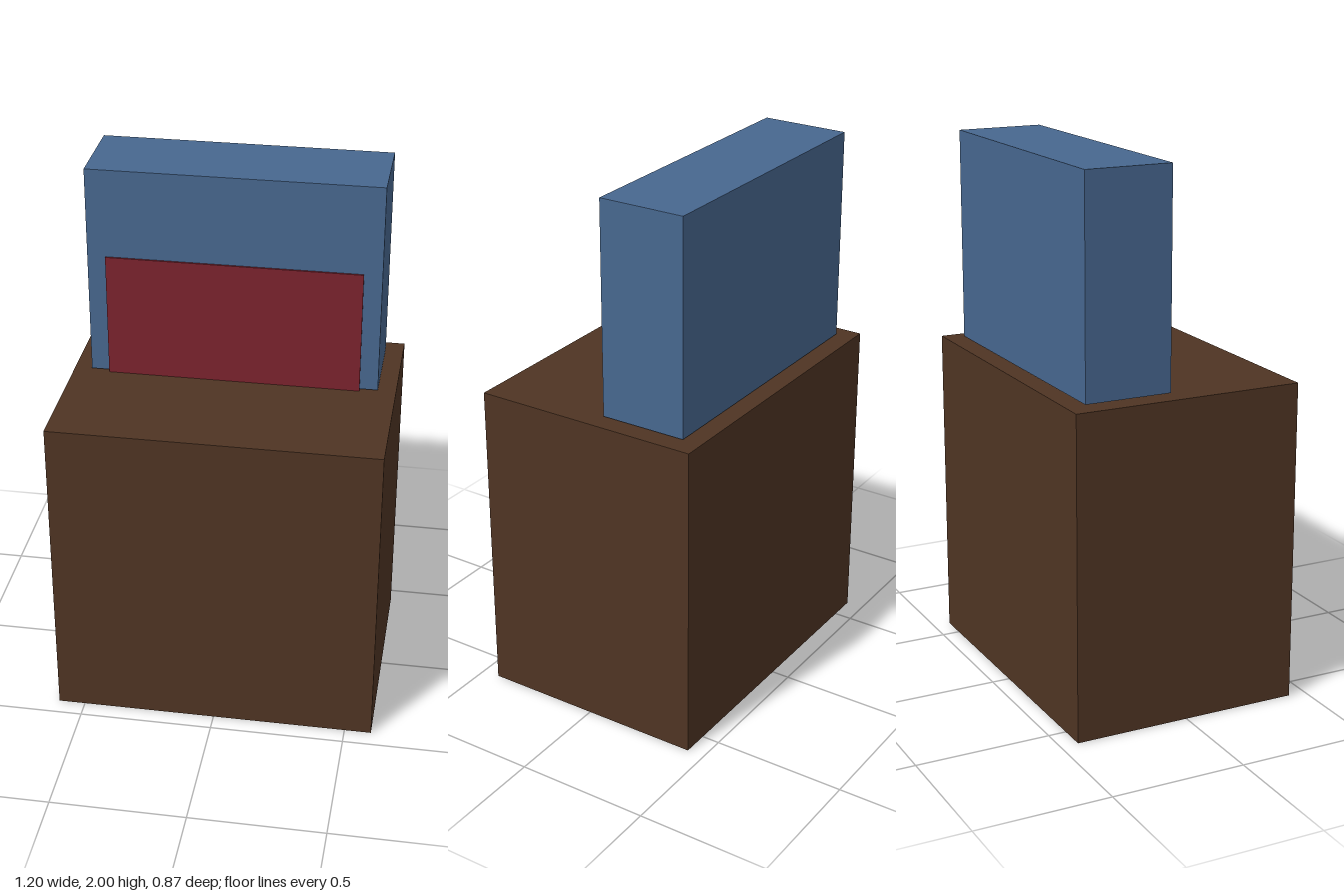
import * as THREE from 'three';

const U = 1 / 15; // modelling unit

function flat(name, color, side = THREE.FrontSide) {
  const m = new THREE.MeshStandardMaterial({ color, side });
  m.name = name;
  return m;
}

// Box given by its extents in modelling units
function block(name, material, [x0, x1], [y0, y1], [z0, z1]) {
  const geometry = new THREE.BoxGeometry((x1 - x0) * U, (y1 - y0) * U, (z1 - z0) * U);
  const mesh = new THREE.Mesh(geometry, material);
  mesh.name = name;
  mesh.position.set((x0 + x1) * U / 2, (y0 + y1) * U / 2, (z0 + z1) * U / 2);
  return mesh;
}

export function createModel() {
  const brown = flat('dark brown', 0x4f3423, THREE.DoubleSide);
  const blue = flat('slate blue', 0x47678f);
  const red = flat('deep red', 0x7b222d);

  const model = new THREE.Group();
  model.name = 'seat';

  // Hollow base: a thin-walled box with no underside
  const base = block('base', brown, [-9, 9], [0, 18], [-6.5, 6.5]);
  const index = Array.from(base.geometry.index.array);
  index.splice(18, 6); // the downward face
  base.geometry.setIndex(index);
  base.geometry.clearGroups();

  // Upright back, lifted a hair above the base
  const backrest = block('backrest', blue, [-8, 8], [18.1, 30], [-5.5, -0.6]);

  // Cushion set into the backrest, standing just proud of its front
  const cushion = block('cushion', red, [-7, 7], [18, 25], [-4.5, -0.5]);

  model.add(base, backrest, cushion);
  return model;
}
